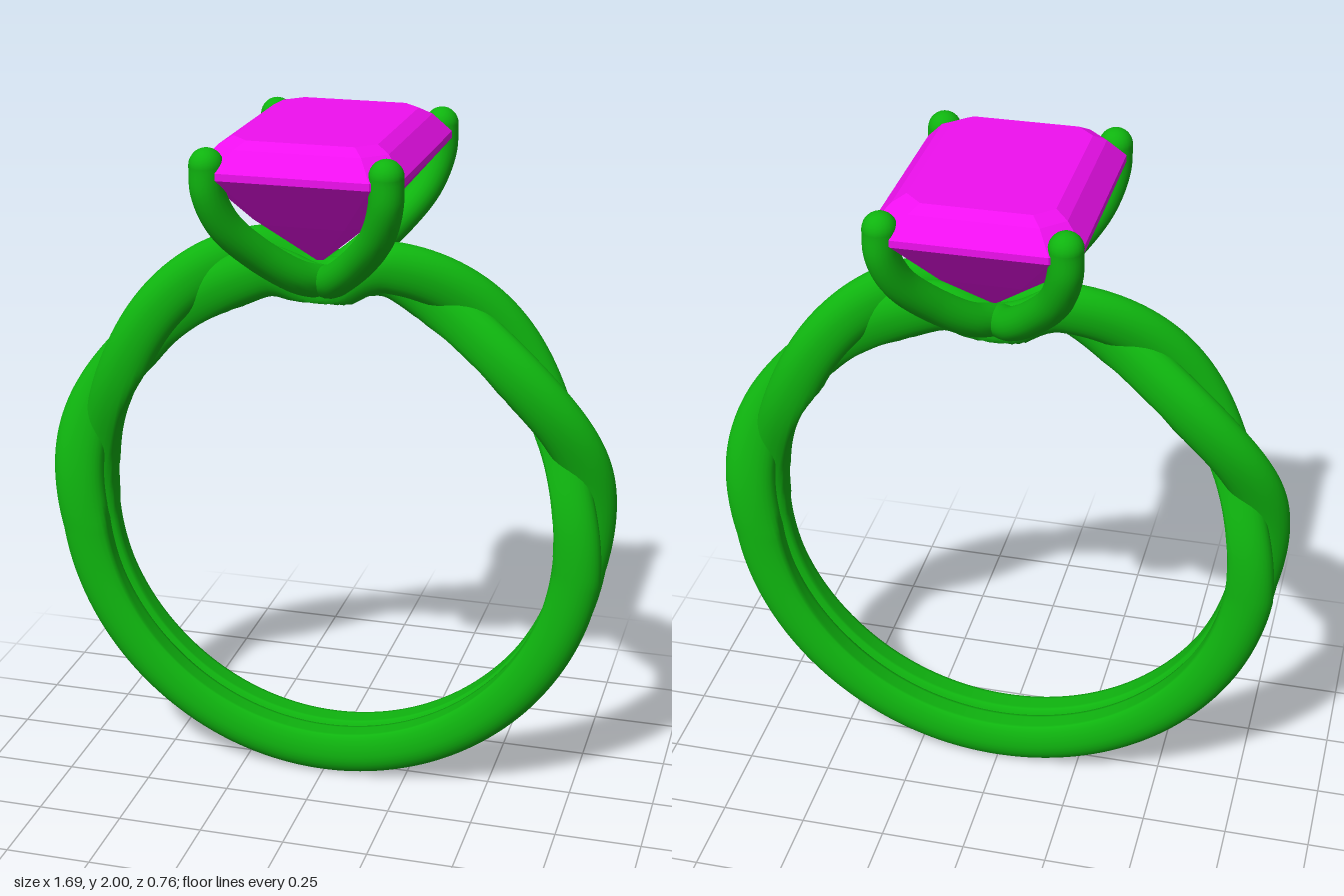
import * as THREE from 'three';

const CY = 0.8175;    // height of the finger hole's centre
const BORE = 0.683;   // radius of the finger hole
const { smoothstep } = THREE.MathUtils;

// Closed band strand: an oval section swept round the hole; both strands twist on the shoulders.
function strandGeometry(side) {
  const N = 256, M = 28, pos = [], idx = [];
  for (let i = 0; i < N; i++) {
    const th = (i / N) * Math.PI * 2 - Math.PI;
    const deg = Math.abs(th) * 180 / Math.PI;
    const twist = Math.sign(th) * Math.PI * 2 * THREE.MathUtils.clamp((deg - 5) / 92, 0, 1);
    // ease the start and end of the twist
    const phase = twist - 0.35 * Math.sin(twist) * smoothstep(deg, 55, 97);
    const zc = side * 0.047 * Math.cos(phase);
    const lift = side * 0.034 * Math.sin(phase);
    // the band thickens towards the head, then dips underneath the stone
    const outer = 0.8165 + 0.012 * (1 - smoothstep(deg, 70, 150))
      + 0.04 * (1 - smoothstep(deg, 12, 60)) - 0.085 * (1 - smoothstep(deg, 0, 14));
    const mid = outer - 0.068 + lift;
    for (let j = 0; j < M; j++) {
      const a = (j / M) * Math.PI * 2, c = Math.cos(a);
      const r = Math.max(BORE, mid + c * (c > 0 ? 0.068 : 0.085));
      const z = zc + 0.05 * Math.sin(a);
      pos.push(Math.sin(th) * r, CY + Math.cos(th) * r, z);
      const i2 = (i + 1) % N, j2 = (j + 1) % M;
      const A = i * M + j, B = i * M + j2, C = i2 * M + j, D = i2 * M + j2;
      idx.push(A, B, C, B, D, C);
    }
  }
  const g = new THREE.BufferGeometry();
  g.setAttribute('position', new THREE.Float32BufferAttribute(pos, 3));
  g.setIndex(idx);
  g.computeVertexNormals();
  return g;
}

// Step-cut stone: stacked rectangles with cut corners, [y, half width, half depth, corner cut]
function stoneGeometry() {
  const rows = [
    [1.63, 0.012, 0.10, 0.006],
    [1.76, 0.16, 0.245, 0.05],
    [1.905, 0.285, 0.368, 0.075],
    [1.925, 0.285, 0.368, 0.075],
    [1.98, 0.235, 0.318, 0.06],
    [2.0, 0.2, 0.285, 0.05],
  ];
  const rings = rows.map(([y, w, d, c]) => [
    [w, d - c], [w, c - d], [w - c, -d], [c - w, -d],
    [-w, c - d], [-w, d - c], [c - w, d], [w - c, d],
  ].map(([x, z]) => [x, y, z]));
  const pos = [];
  const tri = (a, b, c) => pos.push(...a, ...b, ...c);
  for (let i = 0; i < rings.length - 1; i++) {
    for (let j = 0; j < 8; j++) {
      const k = (j + 1) % 8, lo = rings[i], hi = rings[i + 1];
      tri(lo[j], lo[k], hi[k]);
      tri(lo[j], hi[k], hi[j]);
    }
  }
  const top = rings[rings.length - 1], low = rings[0];
  for (let j = 1; j < 7; j++) {
    tri(top[0], top[j], top[j + 1]);
    tri(low[0], low[j + 1], low[j]);
  }
  const g = new THREE.BufferGeometry();
  g.setAttribute('position', new THREE.Float32BufferAttribute(pos, 3));
  g.computeVertexNormals();
  return g;
}

export function createModel() {
  const model = new THREE.Group();
  const metal = new THREE.MeshStandardMaterial({ color: 0x0fb40f });
  const gem = new THREE.MeshStandardMaterial({ color: 0xf010f0, flatShading: true });
  const add = (parent, name, geometry, material) => {
    const mesh = new THREE.Mesh(geometry, material);
    mesh.name = name;
    parent.add(mesh);
    return mesh;
  };

  // Band of two twisted strands
  const band = new THREE.Group();
  band.name = 'band';
  model.add(band);
  add(band, 'frontStrand', strandGeometry(1), metal);
  add(band, 'backStrand', strandGeometry(-1), metal);

  // Four curved claws with rounded ends
  const claws = new THREE.Group();
  claws.name = 'claws';
  model.add(claws);
  const R = 0.048;
  for (const sx of [1, -1]) for (const sz of [1, -1]) {
    const claw = new THREE.Group();
    claw.name = (sz > 0 ? 'front' : 'back') + (sx > 0 ? 'Left' : 'Right') + 'Claw';
    claws.add(claw);
    const points = [
      [0.0, 1.55, 0.045], [0.055, 1.585, 0.125], [0.15, 1.675, 0.22],
      [0.215, 1.765, 0.288], [0.245, 1.86, 0.326], [0.247, 1.937, 0.331],
    ].map(([x, y, z]) => new THREE.Vector3(x * sx, y, z * sz));
    const path = new THREE.CatmullRomCurve3(points);
    add(claw, 'clawArm', new THREE.TubeGeometry(path, 40, R, 20), metal);
    for (const [name, p] of [['clawFoot', points[0]], ['clawTip', points[5]]]) {
      add(claw, name, new THREE.SphereGeometry(R, 20, 14), metal).position.copy(p);
    }
  }

  add(model, 'stone', stoneGeometry(), gem);
  return model;
}
